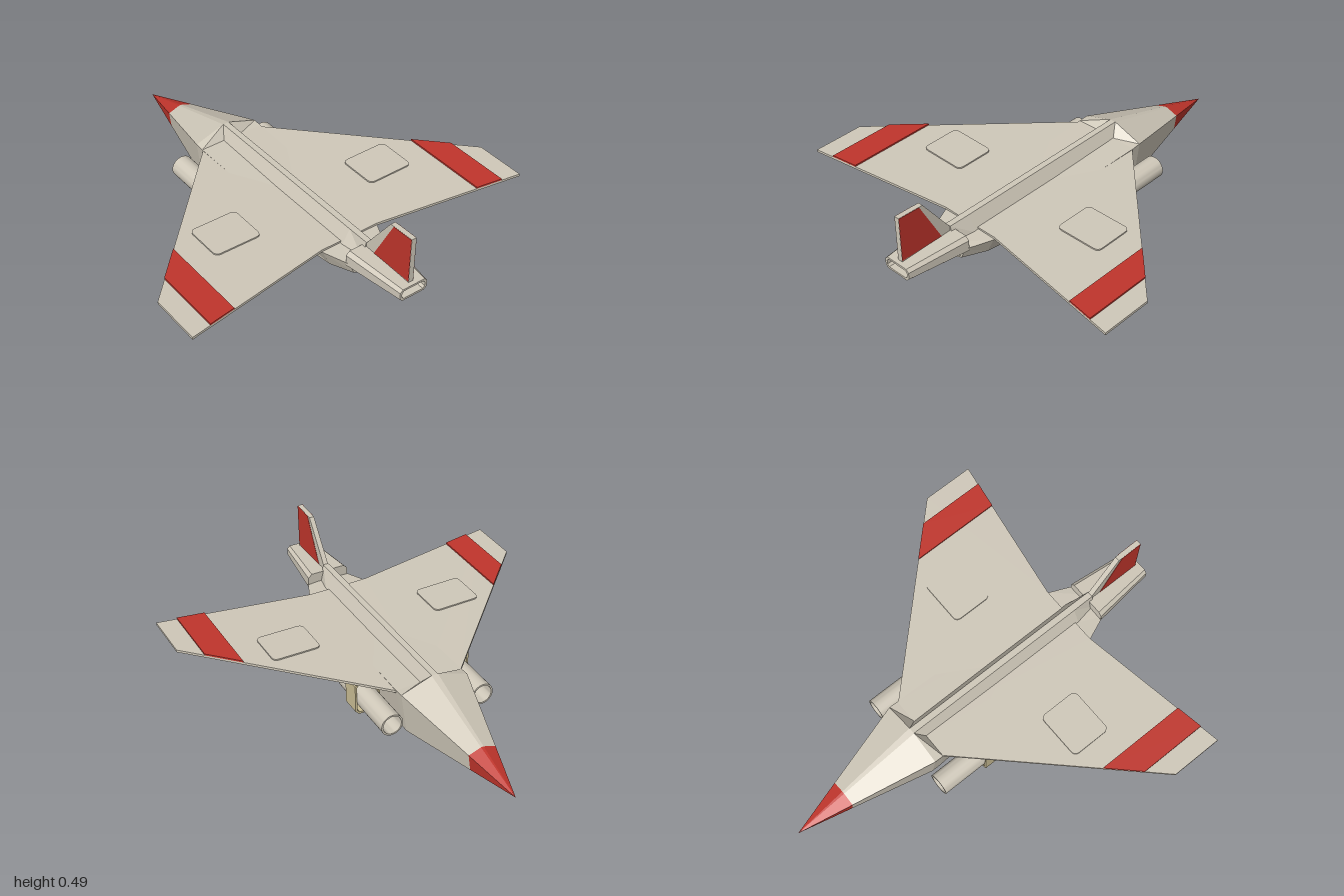
import * as THREE from 'three';
import { toCreasedNormals } from 'three/addons/utils/BufferGeometryUtils.js';

const material = (name, color, side = THREE.FrontSide) => {
  const m = new THREE.MeshStandardMaterial({ color, side });
  m.name = name;
  return m;
};

// Joins cross-sections [z, [[x, y], ...]] listed anticlockwise into flat facets
function loft(sections) {
  const pos = [];
  for (let i = 0; i < sections.length - 1; i++) {
    const [z0, p] = sections[i];
    const [z1, q] = sections[i + 1];
    for (let j = 0; j < p.length; j++) {
      const k = (j + 1) % p.length;
      const a = [...p[j], z0], b = [...p[k], z0], c = [...q[k], z1], d = [...q[j], z1];
      pos.push(...a, ...b, ...c, ...a, ...c, ...d);
    }
  }
  const g = new THREE.BufferGeometry();
  g.setAttribute('position', new THREE.Float32BufferAttribute(pos, 3));
  g.computeVertexNormals();
  return g;
}

// Hull section: flat crown, shoulders, lower chines and keel
const hullLoop = (tw, ty, sw, sy, lw, ly, by) =>
  [[0, by], [lw, ly], [sw, sy], [tw, ty], [-tw, ty], [-sw, sy], [-lw, ly]];

// Chamfered rectangle
const chamfered = (hw, y0, y1, c) => [
  [hw - c, y0], [hw, y0 + c], [hw, y1 - c], [hw - c, y1],
  [-hw + c, y1], [-hw, y1 - c], [-hw, y0 + c], [-hw + c, y0],
];

const shapeOf = (pts) => new THREE.Shape(pts.map(([x, y]) => new THREE.Vector2(x, y)));
const extrude = (shape, depth) =>
  new THREE.ExtrudeGeometry(shape, { depth, bevelEnabled: false, curveSegments: 6 });

// Horizontal slab from [x, z] outline, rising gently towards the wing tips
function slab(pts, side, y, depth) {
  const g = extrude(shapeOf(pts.map(([x, z]) => [x * side, -z])), depth);
  g.rotateX(-Math.PI / 2).translate(0, y, 0);
  const p = g.attributes.position;
  for (let i = 0; i < p.count; i++) p.setY(i, p.getY(i) + Math.abs(p.getX(i)) * 0.01);
  g.computeVertexNormals();
  return g;
}

// Upright plate from [z, y] outline, centred on x
function upright(pts, thickness, x = 0) {
  return extrude(shapeOf(pts), thickness).rotateY(-Math.PI / 2).translate(x + thickness / 2, 0, 0);
}

export function createModel() {
  const model = new THREE.Group();
  model.name = 'jetAircraft';
  const hullPaint = material('warm grey', 0xcfc8b9, THREE.DoubleSide);
  const redPaint = material('red', 0xc0352c, THREE.DoubleSide);
  const bracketPaint = material('khaki', 0xccbf96);
  const add = (name, geometry, mat, parent = model) => {
    const mesh = new THREE.Mesh(geometry, mat);
    mesh.name = name;
    parent.add(mesh);
    return mesh;
  };

  // Fuselage with pointed red nose and open tail
  const peak = hullLoop(0.016, 0.292, 0.166, 0.24, 0.14, 0.036, 0.002);
  const tip = peak.map(() => [0, 0.09]);
  const noseJoin = peak.map(([x, y]) => [x * 0.4, 0.09 + (y - 0.09) * 0.4]);
  const tail = hullLoop(0.04, 0.22, 0.1, 0.215, 0.075, 0.155, 0.122);
  const inset = tail.map(([x, y]) => [x * 0.88, 0.175 + (y - 0.175) * 0.82]);
  add('noseTip', loft([[-1, tip], [-0.737, noseJoin]]), redPaint);
  add('fuselage', loft([
    [-0.737, noseJoin],
    [-0.34, peak],
    [-0.295, hullLoop(0.05, 0.238, 0.166, 0.236, 0.14, 0.038, 0.005)],
    [0.59, hullLoop(0.05, 0.224, 0.15, 0.222, 0.11, 0.138, 0.106)],
    [0.71, tail], [0.71, inset], [0.68, inset],
  ]), hullPaint);

  // Raised spine
  const spineLoop = (base, top) => [[base, 0.215], [top, 0.292], [-top, 0.292], [-base, 0.215]];
  const spineEnd = spineLoop(0.034, 0.014);
  add('spine', loft([
    [-0.34, spineLoop(0.056, 0.015)],
    [0.6, spineLoop(0.056, 0.015)],
    [0.71, spineEnd],
    [0.71, spineEnd.map(() => [0, 0.25])],
  ]), hullPaint);

  // Hollow tail boom
  const boomFront = chamfered(0.105, 0.182, 0.27, 0.018);
  const boomBack = chamfered(0.072, 0.202, 0.262, 0.014);
  const boomInner = chamfered(0.061, 0.212, 0.252, 0.01);
  const centre = boomFront.map(() => [0, 0.23]);
  add('tailBoom', loft([
    [0.69, centre], [0.69, boomFront], [1, boomBack],
    [1, boomInner], [0.72, boomInner], [0.72, centre],
  ]), hullPaint);

  // Tail fin with red side panels
  add('tailFin', upright([[0.71, 0.25], [0.98, 0.25], [0.98, 0.49], [0.85, 0.485], [0.71, 0.29]], 0.024), hullPaint);
  for (const s of [1, -1]) {
    add('finPanel', upright([[0.76, 0.268], [0.979, 0.268], [0.979, 0.489], [0.87, 0.485]], 0.002, s * 0.0125), redPaint);
  }

  // Wings, stripes, access panels and underwing pods
  const leading = (x) => -0.29 + (x - 0.165) * 1.028;
  const trailing = (x) => 0.585 + (x - 0.15) * 0.163;
  const hatch = [];
  for (let i = 0; i < 4; i++) {
    const cx = i === 0 || i === 3 ? 1 : -1;
    const cz = i < 2 ? 1 : -1;
    for (let k = 0; k <= 4; k++) {
      const a = (i + k / 4) * Math.PI / 2;
      hatch.push([0.42 + cx * 0.094 + Math.cos(a) * 0.024, 0.26 + cz * 0.076 + Math.sin(a) * 0.024]);
    }
  }
  for (const s of [1, -1]) {
    const wing = new THREE.Group();
    wing.name = s > 0 ? 'leftWing' : 'rightWing';
    model.add(wing);
    add('wingSurface', slab([
      [0, -0.27], [0.14, -0.29], [0.165, leading(0.165)], [0.886, 0.452], [0.886, 0.705],
      [0.15, 0.585], [0, 0.585],
    ], s, 0.219, 0.012), hullPaint, wing);
    add('wingStripe', slab([
      [0.66, leading(0.66)], [0.79, leading(0.79)], [0.79, trailing(0.79)], [0.66, trailing(0.66)],
    ], s, 0.2305, 0.008), redPaint, wing);
    add('accessPanel', slab(hatch, s, 0.2305, 0.007), hullPaint, wing);

    // Open-ended pod tube
    const profile = [[0.053, 0], [0.053, 0.405], [0.045, 0.405], [0.045, 0], [0.053, 0]]
      .map(([r, y]) => new THREE.Vector2(r, y));
    const tube = toCreasedNormals(new THREE.LatheGeometry(profile, 32), 0.6);
    tube.rotateX(Math.PI / 2).translate(s * 0.23, 0.125, -0.375);
    add('podTube', tube, hullPaint, wing);

    // Chamfered square frame holding the pod
    const frame = shapeOf(chamfered(0.062, 0.052, 0.222, 0.018));
    frame.holes.push(new THREE.Path(
      chamfered(0.053, 0.062, 0.21, 0.012).reverse().map(([x, y]) => new THREE.Vector2(x, y))));
    add('podBracket', extrude(frame, 0.092).translate(s * 0.23, 0, -0.15), bracketPaint, wing);
  }
  return model;
}
